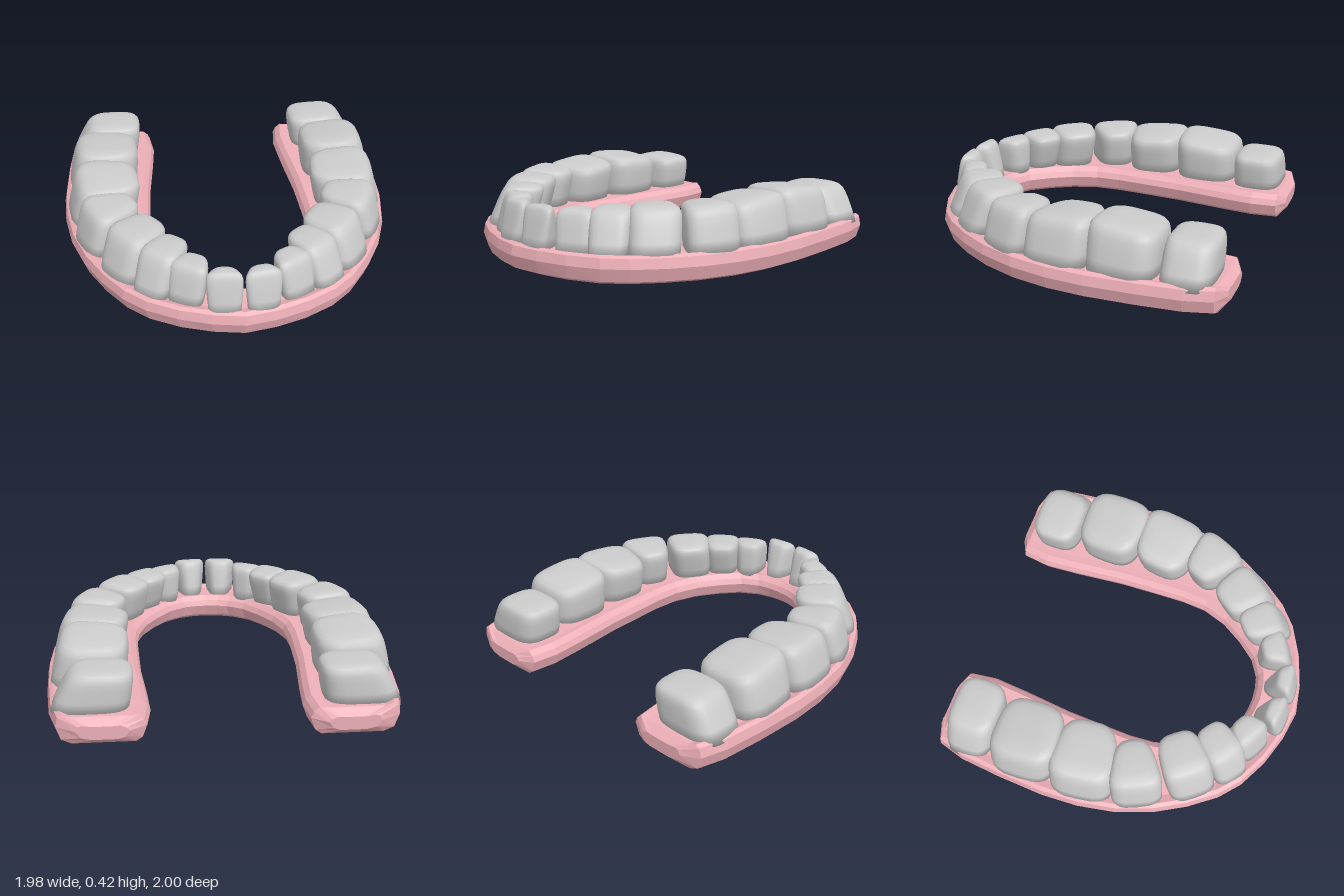
import * as THREE from 'three';

// Skin a list of closed rings and cap both ends.
function loft(rings, startCentre, endCentre) {
  const n = rings[0].length, last = rings.length - 1;
  const pos = rings.flat(2), idx = [];
  const s = rings.length * n, e = s + 1;
  pos.push(...startCentre, ...endCentre);
  for (let j = 0; j < n; j++) {
    const k = (j + 1) % n;
    for (let i = 0; i < last; i++) {
      const a = i * n + j, b = i * n + k;
      idx.push(a, a + n, b, b, a + n, b + n);
    }
    idx.push(s, j, k, e, last * n + k, last * n + j);
  }
  const g = new THREE.BufferGeometry();
  g.setAttribute('position', new THREE.Float32BufferAttribute(pos, 3));
  g.setIndex(idx);
  g.computeVertexNormals();
  return g;
}

// Half of the arch, from the back end to the front: outer x, z, inner x, z.
const ARCH = [
  [0.80, -1.0, 0.52, -1.0], [0.905, -0.955, 0.43, -0.955], [0.95, -0.8, 0.41, -0.8],
  [0.975, -0.55, 0.425, -0.6], [0.99, -0.27, 0.455, -0.3], [0.98, -0.05, 0.465, -0.05],
  [0.94, 0.17, 0.47, 0.1], [0.865, 0.38, 0.46, 0.25], [0.765, 0.56, 0.41, 0.4],
  [0.65, 0.715, 0.33, 0.53], [0.53, 0.82, 0.24, 0.64], [0.36, 0.91, 0.14, 0.7],
  [0.18, 0.97, 0.07, 0.715], [0, 1.0, 0, 0.72],
];
// Gum section: side (1 outer, 0 inner), inset from that side, height.
const SECTION = [
  [1, 0.08, 0.152], [1, 0.035, 0.168], [1, 0.012, 0.155], [1, 0, 0.1], [1, 0.025, 0.025], [1, 0.08, 0],
  [0, 0.06, 0], [0, 0.025, 0.025], [0, 0, 0.095], [0, 0.015, 0.13], [0, 0.045, 0.157], [0, 0.09, 0.152],
];

function gumGeometry() {
  const mirrored = ARCH.slice(0, -1).reverse().map(([a, b, c, d]) => [-a, b, -c, d]);
  const path = [...ARCH, ...mirrored];
  const rings = path.map(([ox, oz, ix, iz], i) => {
    const len = Math.hypot(ox - ix, oz - iz);
    const squash = i === 0 || i === path.length - 1 ? 0.5 : 1; // blunt back ends
    return SECTION.map(([side, inset, y]) => {
      const f = side ? 1 - inset / len : inset / len;
      return [ix + (ox - ix) * f, 0.08 + (y - 0.08) * squash, iz + (oz - iz) * f];
    });
  });
  return loft(rings, [0.66, 0.08, -1], [-0.66, 0.08, -1]);
}

// Outward angle (degrees), base and top centres, half widths, half depths, height,
// k: how much the cheek side is wider than the tongue side,
// tilt: rise of the crown towards the back and towards the cheek.
const TEETH = [
  { name: 'CentralIncisor', a: 6, base: [0.1, 0.86], top: [0.102, 0.86], w: [0.09, 0.103], d: [0.105, 0.045], h: 0.378, k: 0.3, tilt: [0, 0] },
  { name: 'LateralIncisor', a: 28, base: [0.285, 0.77], top: [0.265, 0.742], w: [0.1, 0.11], d: [0.108, 0.075], h: 0.372, k: 0.25, tilt: [0, 0] },
  { name: 'Canine', a: 38, base: [0.45, 0.68], top: [0.393, 0.605], w: [0.11, 0.118], d: [0.14, 0.12], h: 0.383, k: 0.12, tilt: [0, 0.04] },
  { name: 'FirstPremolar', a: 52, base: [0.592, 0.502], top: [0.535, 0.435], w: [0.145, 0.145], d: [0.162, 0.14], h: 0.394, k: 0.12, tilt: [0, 0.05] },
  { name: 'SecondPremolar', a: 66, base: [0.735, 0.23], top: [0.68, 0.2], w: [0.153, 0.15], d: [0.165, 0.15], h: 0.393, k: 0.25, tilt: [0.03, 0.06] },
  { name: 'FirstMolar', a: 83, base: [0.76, -0.075], top: [0.7, -0.09], w: [0.195, 0.192], d: [0.205, 0.185], h: 0.396, k: 0.14, tilt: [0.07, 0.07] },
  { name: 'SecondMolar', a: 88, base: [0.75, -0.44], top: [0.705, -0.44], w: [0.203, 0.2], d: [0.217, 0.188], h: 0.403, k: 0.05, tilt: [-0.09, 0.07] },
  { name: 'ThirdMolar', a: 90, base: [0.73, -0.785], top: [0.655, -0.785], w: [0.15, 0.14], d: [0.215, 0.165], h: 0.362, k: 0, tilt: [0, 0.03] },
];
// Crown profile: height fraction, scale of the section.
const CROWN = [[0, 0.97], [0.3, 1], [0.6, 1.01], [0.75, 1], [0.86, 0.97], [0.935, 0.89], [0.98, 0.74], [1, 0.45]];
const SEGMENTS = 28, BASE_Y = 0.14;

function toothGeometry(t, side) {
  const a = THREE.MathUtils.degToRad(t.a) * side;
  const mix = (p, f) => p[0] + (p[1] - p[0]) * f;
  const round = (c) => Math.sign(c) * Math.pow(Math.abs(c), 0.6);
  const rings = CROWN.map(([f, scale]) => {
    const cx = side * mix([t.base[0], t.top[0]], f), cz = mix([t.base[1], t.top[1]], f);
    return Array.from({ length: SEGMENTS }, (_, j) => {
      const th = (j / SEGMENTS) * Math.PI * 2;
      const across = round(Math.cos(th)), out = round(Math.sin(th));
      const u = across * (1 + t.k * (out - 0.4)) * mix(t.w, f) * scale;
      const v = out * mix(t.d, f) * scale;
      return [
        cx + u * Math.cos(a) + v * Math.sin(a),
        BASE_Y + (t.h - BASE_Y + t.tilt[0] * u * side + t.tilt[1] * v) * f,
        cz - u * Math.sin(a) + v * Math.cos(a),
      ];
    });
  });
  return loft(rings, [side * t.base[0], BASE_Y, t.base[1]], [side * t.top[0], t.h, t.top[1]]);
}

export function createModel() {
  const model = new THREE.Group();
  model.name = 'lowerDentalArch';

  // Gum
  const gum = new THREE.Mesh(
    gumGeometry(),
    new THREE.MeshStandardMaterial({ color: 0xeeb0b8, flatShading: true })
  );
  gum.name = 'gum';
  model.add(gum);

  // Teeth, mirrored left and right
  const enamel = new THREE.MeshStandardMaterial({ color: 0xcccccc });
  for (const side of [1, -1]) {
    for (const t of TEETH) {
      const tooth = new THREE.Mesh(toothGeometry(t, side), enamel);
      tooth.name = (side > 0 ? 'left' : 'right') + t.name;
      model.add(tooth);
    }
  }
  return model;
}
